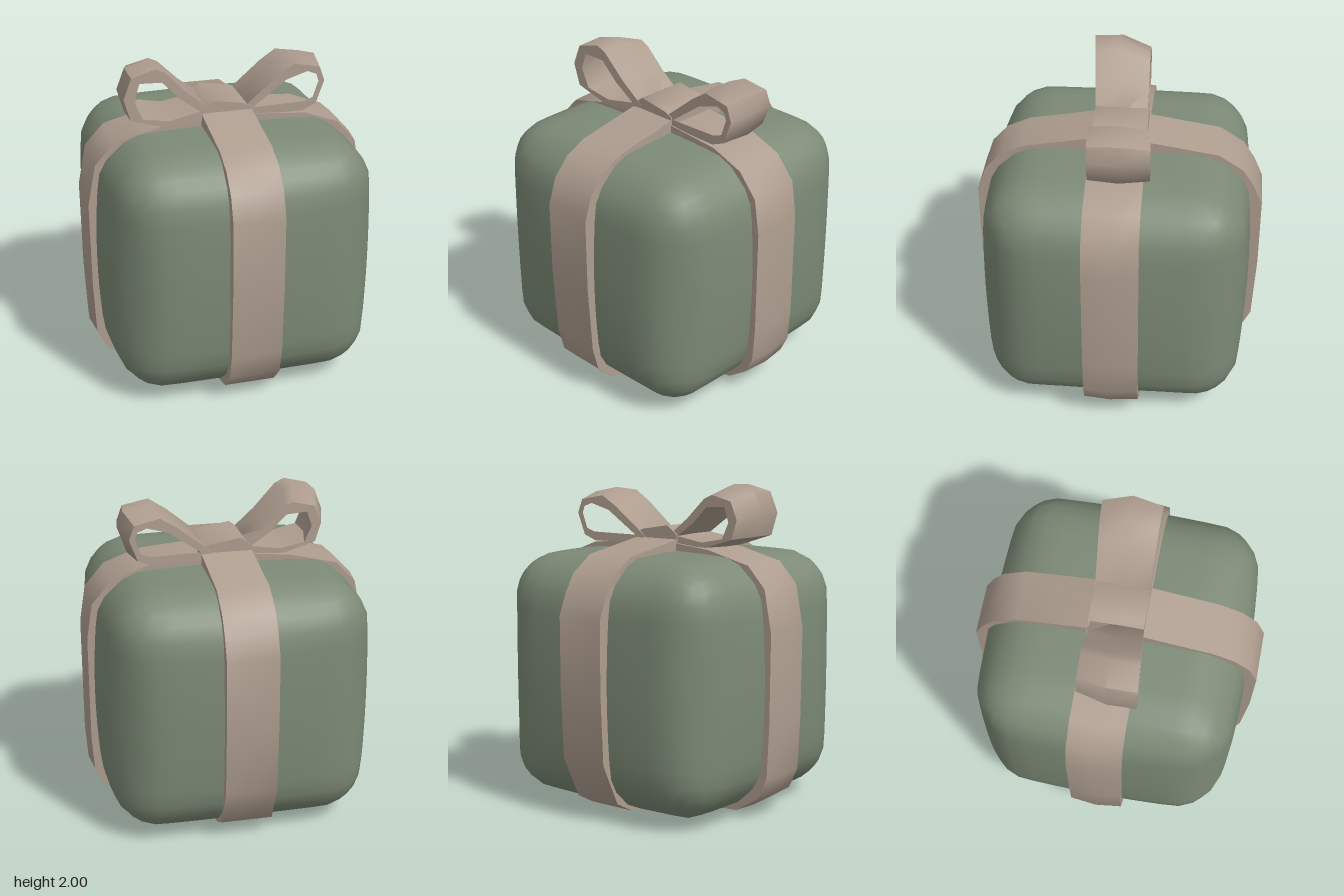
import * as THREE from 'three';
import { mergeVertices, toCreasedNormals } from 'three/addons/utils/BufferGeometryUtils.js';

const green = new THREE.MeshStandardMaterial({ color: 0x7c8a76 });
green.name = 'sage green wrapping';
const beige = new THREE.MeshStandardMaterial({ color: 0xae9d8f });
beige.name = 'beige ribbon';

const points = (list) => list.map(([x, y]) => new THREE.Vector2(x, y));

function mesh(name, geometry, material) {
  const m = new THREE.Mesh(geometry, material);
  m.name = name;
  return m;
}

// Runs a rule over every vertex of a geometry
function reshape(geometry, rule) {
  const pos = geometry.attributes.position;
  const v = new THREE.Vector3();
  for (let i = 0; i < pos.count; i++) {
    v.fromBufferAttribute(pos, i);
    rule(v);
    pos.setXYZ(i, v.x, v.y, v.z);
  }
  return geometry;
}

// Side profile swept to a strip between z0 and z1, softly shaded
function strip(outline, hole, z0, z1, rule) {
  const shape = new THREE.Shape(points(outline));
  if (hole) shape.holes.push(new THREE.Path(points(hole)));
  const g = new THREE.ExtrudeGeometry(shape, { depth: z1 - z0, steps: 2, bevelEnabled: false });
  g.translate(0, 0, z0);
  if (rule) reshape(g, rule);
  return toCreasedNormals(g, 0.9);
}

// Puffy box: rounded corners, then each face swells in the middle
function boxGeometry() {
  const half = new THREE.Vector3(0.772, 0.748, 0.762);
  const r = 0.26;
  const inner = half.clone().subScalar(r);
  let g = new THREE.BoxGeometry(2, 2, 2, 14, 14, 14);
  reshape(g, (p) => {
    const n = p.clone();
    const q = p.clone().multiply(half);
    const c = q.clone().clamp(inner.clone().negate(), inner);
    p.copy(q.sub(c).setLength(r).add(c));
    const x = 1 - n.x * n.x, y = 1 - n.y * n.y, z = 1 - n.z * n.z;
    p.x *= 1 + 0.08 * y * z;
    p.y *= 1 + 0.045 * x * z;
    p.z *= 1 + 0.08 * x * y;
    p.y += 0.815;
  });
  g.deleteAttribute('uv');
  g.deleteAttribute('normal');
  g = mergeVertices(g, 1e-4);
  g.computeVertexNormals();
  return g;
}

export function createModel() {
  const gift = new THREE.Group();
  gift.name = 'giftBox';
  gift.add(mesh('box', boxGeometry(), green));

  // Ribbon running left to right, slightly crowned along its middle
  const sideBand = [
    [0, 0.005], [0.45, 0.025], [0.67, 0.07], [0.8, 0.17], [0.85, 0.28], [0.865, 0.5],
    [0.865, 1.17], [0.83, 1.39], [0.71, 1.53], [0.5, 1.61], [0.15, 1.64],
    [-0.15, 1.64], [-0.4, 1.615], [-0.7, 1.54], [-0.82, 1.41], [-0.87, 1.15],
    [-0.865, 0.6], [-0.85, 0.27], [-0.79, 0.14], [-0.63, 0.04],
  ];
  gift.add(mesh('sideRibbon', strip(sideBand, null, -0.17, 0.165, (v) => {
    if (Math.abs(v.z) < 0.05) v.x *= 1.023;
  }), beige));

  // Ribbon running front to back, rising to the knot (profile x becomes depth)
  const frontBand = [
    [0, 0.005], [0.48, 0.02], [0.7, 0.08], [0.81, 0.2], [0.85, 0.36], [0.875, 0.8],
    [0.875, 1.26], [0.82, 1.42], [0.72, 1.53], [0.58, 1.595], [0.17, 1.67], [0.08, 1.7],
    [-0.08, 1.7], [-0.17, 1.66], [-0.6, 1.59], [-0.75, 1.49], [-0.82, 1.38], [-0.875, 1.25],
    [-0.875, 0.8], [-0.855, 0.38], [-0.73, 0.12], [-0.6, 0.05],
  ];
  const front = mesh('frontRibbon', strip(frontBand, null, -0.155, 0.16), beige);
  front.rotation.y = -Math.PI / 2;
  gift.add(front);

  // Bow: two hollow loops, fullest along their middle and twisted about the knot
  const bow = new THREE.Group();
  bow.name = 'bow';
  const twist = (frontScale, backScale) => (v) => {
    const s = v.z > 0.1 ? frontScale : v.z < -0.1 ? backScale : 1;
    v.x *= (s + 1) / 2;
    v.y = 1.64 + (v.y - 1.64) * s;
    v.z = v.z * (1 + 0.25 * Math.abs(v.x)) - 0.055 * v.x;
  };
  const rightOuter = [
    [-0.1, 1.69], [-0.25, 1.82], [-0.39, 1.97], [-0.45, 2.0], [-0.6, 1.96], [-0.65, 1.83],
    [-0.61, 1.69], [-0.4, 1.62], [-0.1, 1.63],
  ];
  const rightInner = [
    [-0.17, 1.69], [-0.3, 1.79], [-0.41, 1.91], [-0.55, 1.92], [-0.585, 1.81],
    [-0.535, 1.69], [-0.37, 1.655],
  ];
  const leftOuter = [
    [0.1, 1.68], [0.33, 1.88], [0.44, 1.955], [0.61, 1.92], [0.645, 1.82],
    [0.59, 1.66], [0.5, 1.62], [0.1, 1.63],
  ];
  const leftInner = [
    [0.17, 1.68], [0.39, 1.85], [0.53, 1.895], [0.59, 1.87], [0.605, 1.82], [0.57, 1.71], [0.51, 1.685],
  ];
  bow.add(mesh('rightLoop', strip(rightOuter, rightInner, -0.155, 0.155, twist(0.98, 0.84)), beige));
  bow.add(mesh('leftLoop', strip(leftOuter, leftInner, -0.16, 0.16, twist(0.92, 0.86)), beige));

  // Knot: lopsided wrap across the crossing
  const knot = [
    [-0.16, 1.55], [0.155, 1.55], [0.155, 1.69], [0.1, 1.715], [-0.09, 1.745], [-0.16, 1.69],
  ];
  bow.add(mesh('knot', strip(knot, null, -0.165, 0.165), beige));
  gift.add(bow);
  return gift;
}
